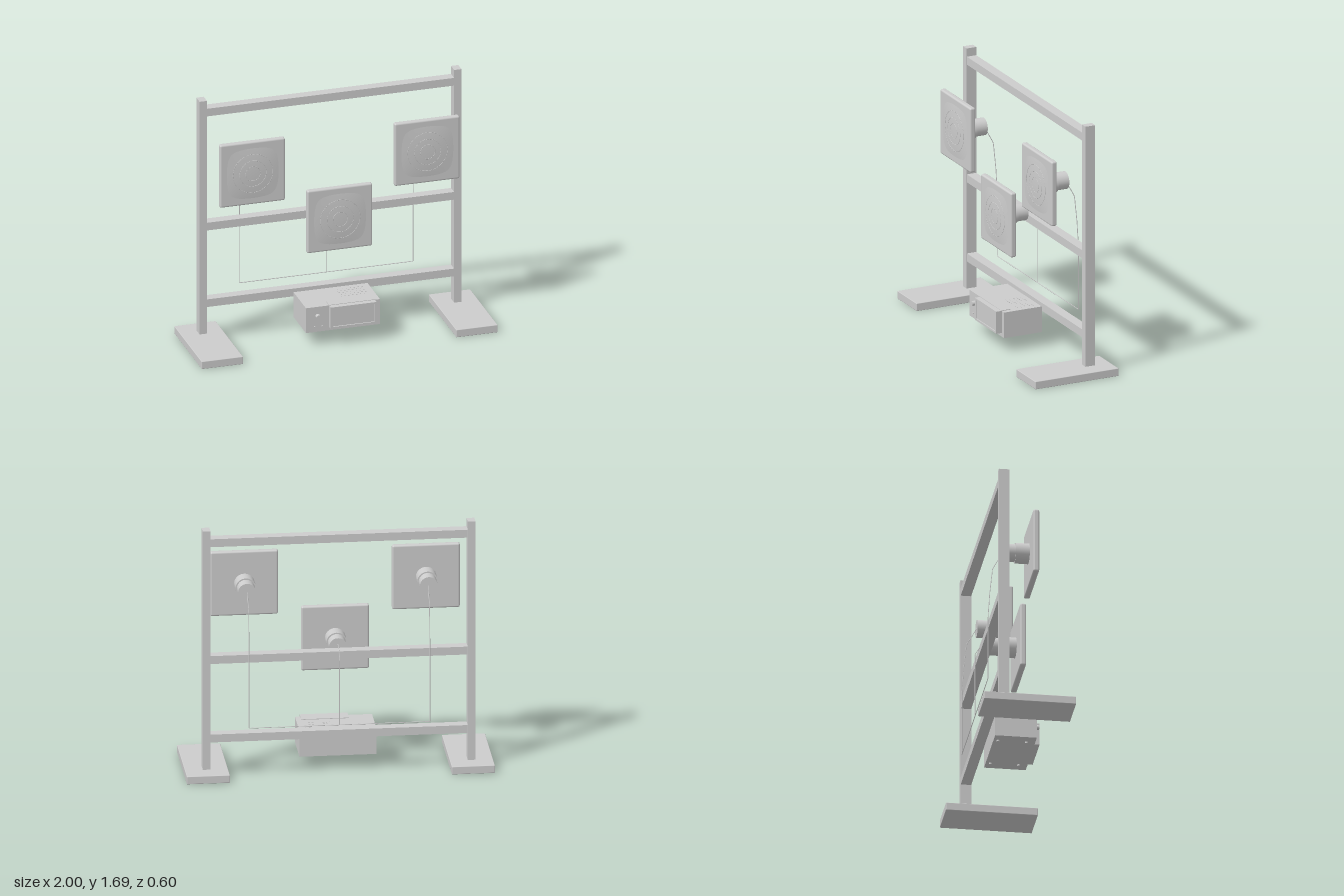
import * as THREE from 'three';
import { RoundedBoxGeometry } from 'three/addons/geometries/RoundedBoxGeometry.js';

const grey = new THREE.MeshStandardMaterial({ color: 0xcccccc });
grey.name = 'light grey';

function add(parent, name, geometry, x = 0, y = 0, z = 0) {
  const mesh = new THREE.Mesh(geometry, grey);
  mesh.name = name;
  mesh.position.set(x, y, z);
  parent.add(mesh);
  return mesh;
}

// box given by its extents on each axis
function box(parent, name, [x0, x1], [y0, y1], [z0, z1]) {
  return add(parent, name, new THREE.BoxGeometry(x1 - x0, y1 - y0, z1 - z0),
    (x0 + x1) / 2, (y0 + y1) / 2, (z0 + z1) / 2);
}

// cylinder lying along z
function rod(parent, name, radius, x, y, z0, z1, sides = 40) {
  const g = new THREE.CylinderGeometry(radius, radius, z1 - z0, sides).rotateX(Math.PI / 2);
  return add(parent, name, g, x, y, (z0 + z1) / 2);
}

function cable(parent, name, points) {
  const path = new THREE.CurvePath();
  const v = points.map(p => new THREE.Vector3(...p));
  for (let i = 1; i < v.length; i++) path.add(new THREE.LineCurve3(v[i - 1], v[i]));
  return add(parent, name, new THREE.TubeGeometry(path, 64, 0.0025, 6));
}

function makeFrame() {
  const frame = new THREE.Group();
  frame.name = 'frame';
  for (const s of [-1, 1]) {
    const side = s > 0 ? 'left' : 'right';
    add(frame, side + 'Post', new THREE.BoxGeometry(0.05, 1.64, 0.07), s * 0.86, 0.875, -0.153);
    add(frame, side + 'Foot', new RoundedBoxGeometry(0.28, 0.053, 0.6, 2, 0.004), s * 0.86, 0.0265, 0);
  }
  for (const y of [0.268, 0.808, 1.612])
    box(frame, 'rail', [-0.84, 0.84], [y - 0.027, y + 0.027], [-0.187, -0.119]);
  return frame;
}

// square loudspeaker panel with a shallow bulging front and a driver behind
function makePanel(x, y) {
  const panel = new THREE.Group();
  panel.name = 'panel';
  panel.position.set(x, y, 0);
  add(panel, 'panelBoard', new RoundedBoxGeometry(0.44, 0.44, 0.04, 3, 0.012), 0, 0, 0.068);
  const half = 0.2;
  const bulge = (u, v) => 0.085 + 0.013 * (1 - (u / half) ** 2) * (1 - (v / half) ** 2);
  const front = new THREE.PlaneGeometry(half * 2, half * 2, 20, 20);
  const p = front.attributes.position;
  for (let i = 0; i < p.count; i++) p.setZ(i, bulge(p.getX(i), p.getY(i)));
  front.computeVertexNormals();
  add(panel, 'panelBulge', front);
  // faint concentric rings
  for (const r of [0.05, 0.09, 0.135])
    add(panel, 'panelRing', new THREE.TorusGeometry(r, 0.0015, 6, 48), 0, 0, bulge(r * 0.7, r * 0.7));
  rod(panel, 'driverMagnet', 0.067, 0, 0, -0.042, 0.05);
  rod(panel, 'driverNeck', 0.058, 0, 0, -0.12, -0.042);
  return panel;
}

function makeAmplifier() {
  const amp = new THREE.Group();
  amp.name = 'amplifier';
  box(amp, 'case', [-0.25, 0.25], [0.095, 0.27], [-0.12, 0.152]);
  box(amp, 'topPlate', [-0.095, 0.215], [0.262, 0.274], [0.09, 0.155]);
  box(amp, 'displayBody', [-0.095, 0.215], [0.12, 0.271], [0.152, 0.172]);
  // display bezel with the screen set into it
  const bezel = new THREE.Shape();
  bezel.moveTo(-0.095, 0.12).lineTo(0.215, 0.12).lineTo(0.215, 0.271).lineTo(-0.095, 0.271).closePath();
  const hole = new THREE.Path();
  hole.moveTo(-0.08, 0.133).lineTo(-0.08, 0.259).lineTo(0.2, 0.259).lineTo(0.2, 0.133).closePath();
  bezel.holes.push(hole);
  add(amp, 'displayBezel', new THREE.ExtrudeGeometry(bezel, { depth: 0.02, bevelEnabled: false }), 0, 0, 0.172);
  box(amp, 'screen', [-0.079, 0.199], [0.134, 0.258], [0.172, 0.186]);
  // controls
  rod(amp, 'knob', 0.016, -0.17, 0.205, 0.152, 0.178, 24);
  for (const x of [-0.19, -0.14]) rod(amp, 'button', 0.005, x, 0.132, 0.152, 0.16, 12);
  // cooling slots on the lid
  for (let i = 0; i < 8; i++)
    for (let j = 0; j < 5; j++)
      add(amp, 'vent', new THREE.BoxGeometry(0.014, 0.002, 0.006), 0.03 + i * 0.024, 0.2705, -0.08 + j * 0.028);
  for (const x of [-0.175, 0.175])
    for (const z of [-0.09, 0.095])
      add(amp, 'rubberFoot', new THREE.CylinderGeometry(0.01, 0.01, 0.01, 16), x, 0.09, z);
  return amp;
}

export function createModel() {
  const model = new THREE.Group();
  model.name = 'speakerStand';
  model.add(makeFrame(), makeAmplifier());
  for (const [x, y] of [[-0.59, 1.24], [0.59, 1.24], [0, 0.843]]) model.add(makePanel(x, y));

  // wiring behind the frame
  for (const x of [-0.587, 0.587])
    cable(model, 'sideCable', [[x, 1.24, -0.119], [x, 1.12, -0.186], [x, 0.95, -0.204], [x, 0.78, -0.215], [x, 0.34, -0.215]]);
  cable(model, 'middleCable', [[0, 0.86, -0.119], [0, 0.838, -0.18], [0, 0.78, -0.215], [0, 0.34, -0.215]]);
  cable(model, 'crossCable', [[-0.587, 0.34, -0.215], [0.587, 0.34, -0.215]]);
  return model;
}
